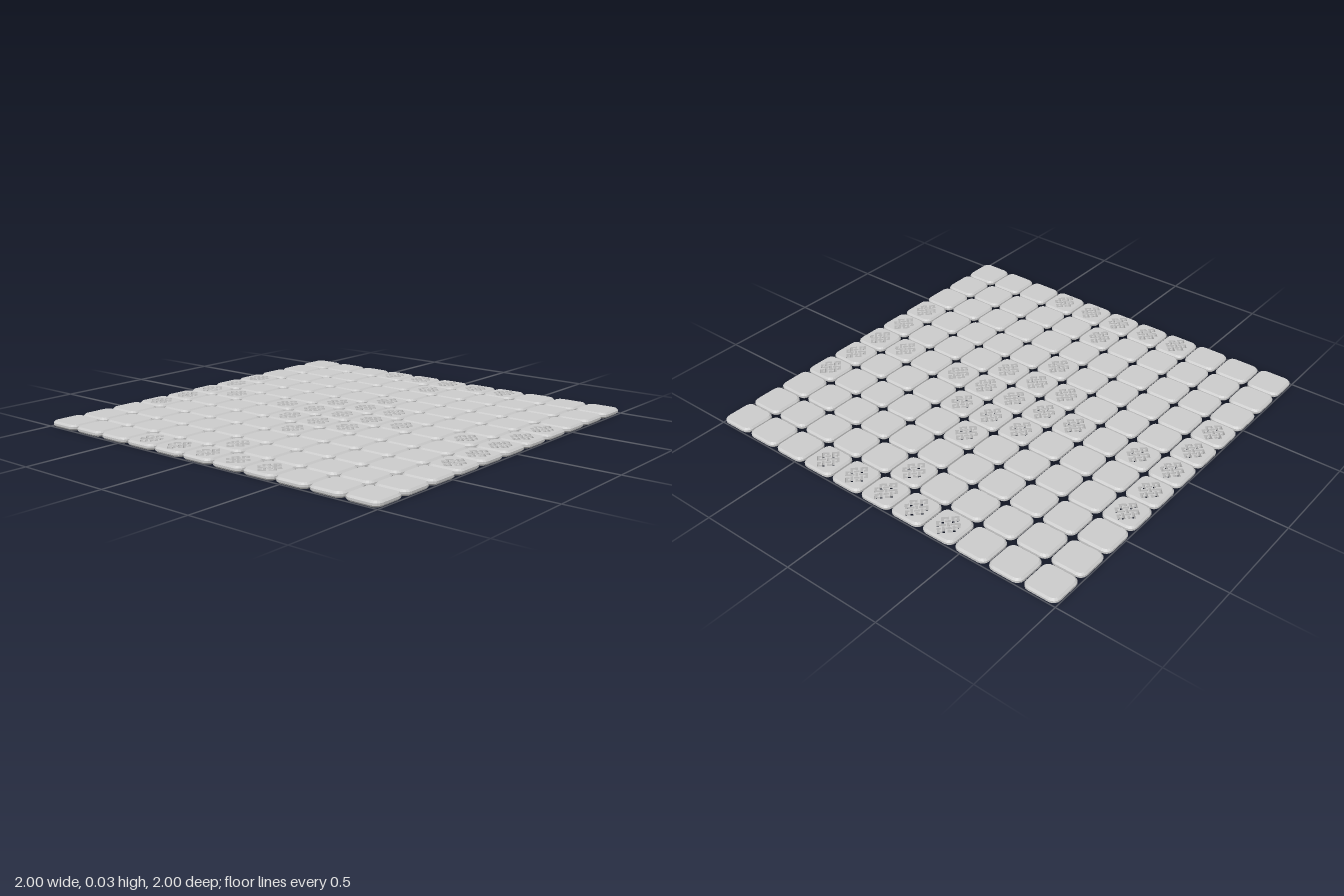
import * as THREE from 'three';
import { mergeGeometries } from 'three/addons/utils/BufferGeometryUtils.js';

const HALF = 0.087, RADIUS = 0.036, HEIGHT = 0.028, BEVEL = 0.009;
const PITCH = (2 - 2 * HALF) / 10;

// Rounded square outline, counter-clockwise, shrunk by an inset
function outline(inset) {
  const r = RADIUS - inset, c = HALF - RADIUS, points = [];
  for (let q = 0; q < 4; q++) {
    const mid = (q + 0.5) * Math.PI / 2;
    const cx = c * Math.sign(Math.cos(mid)), cy = c * Math.sign(Math.sin(mid));
    for (let k = 0; k <= 4; k++) {
      const a = (q + k / 4) * Math.PI / 2;
      points.push(new THREE.Vector2(cx + r * Math.cos(a), cy + r * Math.sin(a)));
    }
  }
  return points;
}

// Bevelled edge lofted between outlines at rising heights
function rimGeometry() {
  const rings = [[BEVEL, 0], [0, BEVEL], [0, HEIGHT - BEVEL], [BEVEL, HEIGHT]]
    .map(([inset, y]) => outline(inset).map(p => [p.x, y, -p.y]));
  const pos = [], n = rings[0].length;
  for (let j = 0; j < rings.length - 1; j++) {
    for (let i = 0; i < n; i++) {
      const k = (i + 1) % n, a = rings[j], b = rings[j + 1];
      pos.push(...a[i], ...a[k], ...b[k], ...a[i], ...b[k], ...b[i]);
    }
  }
  const geo = new THREE.BufferGeometry();
  geo.setAttribute('position', new THREE.Float32BufferAttribute(pos, 3));
  geo.computeVertexNormals();
  return geo;
}

// Interlaced knot: right-angled strands on a diagonal lattice, broken where they pass under
const H = 0.26, G = 0.43, UNIT = 0.0226;
const halfKnot = [
  [[1, G], [1, 2], [2, 2], [2, 1], [1 + G, 1]],
  [[1, -G], [1, -2], [0, -2], [0, -1 - G]],
  [[G, 0], [2, 0], [2, -1], [1 + G, -1]],
  [[-1 + G, 1], [1 - G, 1]],
];
const strands = [
  [[0, -1 + G], [0, 1 - G]],
  ...halfKnot,
  ...halfKnot.map(path => path.map(([u, v]) => [-u, -v])),
];

// Widen a strand into a closed band and turn it by 45 degrees
function bandHole(path) {
  const left = [], right = [];
  const normal = i => {
    if (i < 0 || i >= path.length - 1) return [0, 0];
    const du = path[i + 1][0] - path[i][0], dv = path[i + 1][1] - path[i][1];
    const len = Math.hypot(du, dv);
    return [-dv / len, du / len];
  };
  path.forEach(([u, v], i) => {
    const a = normal(i - 1), b = normal(i);
    const ou = H * (a[0] + b[0]), ov = H * (a[1] + b[1]);
    left.push([u + ou, v + ov]);
    right.unshift([u - ou, v - ov]);
  });
  const s = UNIT / Math.SQRT2;
  return new THREE.Path([...left, ...right].map(([u, v]) => new THREE.Vector2((u + v) * s, (v - u) * s)));
}

function tileGeometry(pierced) {
  const shape = new THREE.Shape(outline(BEVEL));
  if (pierced) shape.holes = strands.map(bandHole);
  const core = new THREE.ExtrudeGeometry(shape, { depth: HEIGHT, bevelEnabled: false });
  core.rotateX(-Math.PI / 2);
  core.deleteAttribute('uv');
  return mergeGeometries([core, rimGeometry()]);
}

// Marked squares: centre diamond, and a T on the middle of each side
function isMarked(col, row) {
  const far = Math.max(Math.abs(col), Math.abs(row));
  const near = Math.min(Math.abs(col), Math.abs(row));
  return far + near <= 2 || (far === 5 && near <= 2) || (far === 4 && near === 0);
}

export function createModel() {
  const board = new THREE.Group();
  board.name = 'gameBoard';
  const material = new THREE.MeshStandardMaterial({ color: 0xcccccc });
  const plain = tileGeometry(false), knotted = tileGeometry(true);
  for (let row = -5; row <= 5; row++) {
    for (let col = -5; col <= 5; col++) {
      const marked = isMarked(col, row);
      const tile = new THREE.Mesh(marked ? knotted : plain, material);
      tile.name = marked ? 'knotTile' : 'plainTile';
      tile.position.set(col * PITCH, 0, row * PITCH);
      board.add(tile);
    }
  }
  return board;
}
